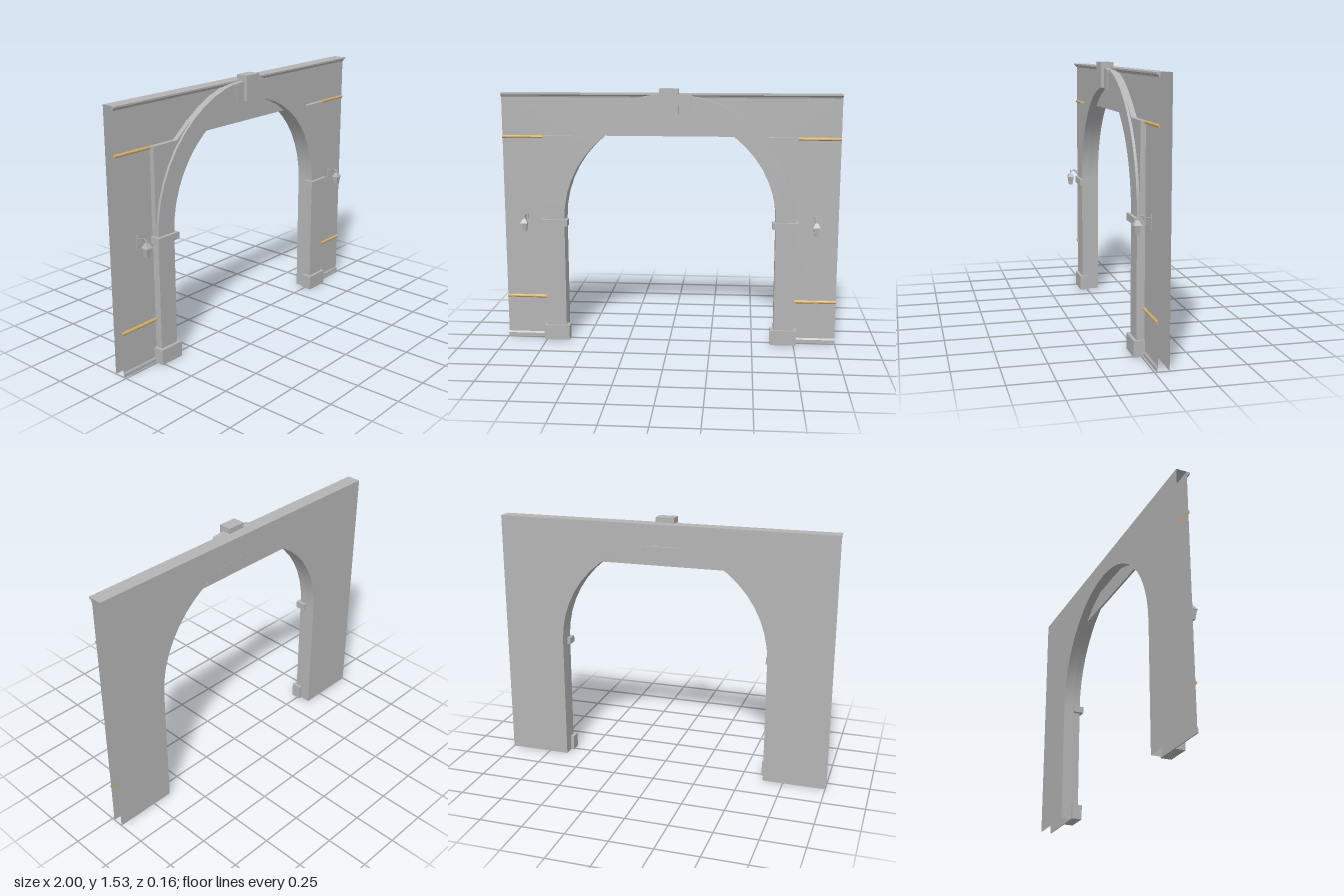
import * as THREE from 'three';
import { toCreasedNormals } from 'three/addons/utils/BufferGeometryUtils.js';

const BACK = -0.08, FRONT = -0.017;   // planes of the hollow wall
const SPRING = 0.75, R_IN = 0.63, R_OUT = 0.75, BAND = 1.25, TOP = 1.5;

export function createModel() {
  const stone = new THREE.MeshStandardMaterial({ color: 0xb4b4b4, side: THREE.DoubleSide });
  stone.name = 'stone grey';
  const gold = new THREE.MeshStandardMaterial({ color: 0xd2ae66 });
  gold.name = 'gold trim';

  const model = new THREE.Group();
  model.name = 'archwayWall';
  const add = (name, geometry, material = stone, parent = model) => {
    const mesh = new THREE.Mesh(geometry, material);
    mesh.name = name;
    parent.add(mesh);
    return mesh;
  };
  // box from its minimum and maximum corners
  const box = (x0, x1, y0, y1, z0, z1) =>
    new THREE.BoxGeometry(x1 - x0, y1 - y0, z1 - z0)
      .translate((x0 + x1) / 2, (y0 + y1) / 2, (z0 + z1) / 2);
  const polygon = (pts) => new THREE.Shape(pts.map(([x, y]) => new THREE.Vector2(x, y)));
  const slab = (shape, z0, z1) => toCreasedNormals(
    new THREE.ExtrudeGeometry(shape, { depth: z1 - z0, bevelEnabled: false, curveSegments: 12 })
      .translate(0, 0, z0), 0.5);
  // a (z, y) profile run along x
  const moulding = (pts, x0, x1) =>
    new THREE.ExtrudeGeometry(polygon(pts), { depth: x1 - x0, bevelEnabled: false })
      .rotateY(-Math.PI / 2).translate(x1, 0, 0);

  // wall face with an opening; stop is the angle where the arch is cut flat
  const wallShape = (stop) => {
    const s = new THREE.Shape();
    s.moveTo(-1, 0);
    s.lineTo(-R_IN, 0);
    s.lineTo(-R_IN, SPRING);
    s.absarc(0, SPRING, R_IN, Math.PI, Math.PI - stop, true);
    if (stop < Math.PI / 2) s.lineTo(R_IN * Math.cos(stop), BAND);
    s.absarc(0, SPRING, R_IN, stop, 0, true);
    s.lineTo(R_IN, 0);
    s.lineTo(1, 0);
    s.lineTo(1, TOP);
    s.lineTo(-1, TOP);
    return s;
  };
  const cut = Math.asin((BAND - SPRING) / R_IN);
  add('wallFront', new THREE.ShapeGeometry(wallShape(cut), 12).translate(0, 0, FRONT));
  add('wallBack', new THREE.ShapeGeometry(wallShape(Math.PI / 2), 12)
    .rotateY(Math.PI).translate(0, 0, BACK));
  add('wallTop', new THREE.PlaneGeometry(2, FRONT - BACK).rotateX(-Math.PI / 2)
    .translate(0, TOP, (FRONT + BACK) / 2));
  add('lintelPanel', box(-0.55, 0.55, BAND, 1.36, FRONT - 0.012, FRONT - 0.001));

  // inner lining of the opening
  const path = [[-R_IN, 0]];
  for (let i = 0; i <= 24; i++) {
    const a = Math.PI * (1 - i / 24);
    path.push([R_IN * Math.cos(a), SPRING + R_IN * Math.sin(a)]);
  }
  path.push([R_IN, 0]);
  const lining = new THREE.PlaneGeometry(1, 1, path.length - 1, 1);
  const pos = lining.attributes.position;
  for (let i = 0; i < pos.count; i++) {
    const [x, y] = path[i % path.length];
    pos.setXYZ(i, x, y, i < path.length ? BACK : FRONT);
  }
  lining.computeVertexNormals();
  add('openingLining', lining);

  // raised arch ring with its two piers
  const ring = new THREE.Shape();
  ring.moveTo(-R_OUT, 0);
  ring.lineTo(-R_IN, 0);
  ring.lineTo(-R_IN, SPRING);
  ring.absarc(0, SPRING, R_IN, Math.PI, 0, true);
  ring.lineTo(R_IN, 0);
  ring.lineTo(R_OUT, 0);
  ring.lineTo(R_OUT, SPRING);
  ring.absarc(0, SPRING, R_OUT, 0, Math.PI, false);
  add('archAndPiers', slab(ring, FRONT, 0.027));

  // keystone and cornice
  add('keystone', box(-0.055, 0.055, 1.385, 1.53, FRONT, 0.057));
  add('cornice', moulding([[FRONT, 1.475], [-0.012, 1.475], [-0.009, 1.483], [-0.003, 1.489],
    [0.004, 1.491], [0.004, TOP], [FRONT, TOP]], -1, 1));

  // half-round trim profile
  const halfRound = (y, r) => Array.from({ length: 7 }, (_, i) => {
    const a = -Math.PI / 2 + Math.PI * i / 6;
    return [FRONT + r * Math.cos(a), y + r * Math.sin(a)];
  });

  for (const s of [1, -1]) {
    const side = s > 0 ? 'left' : 'right';
    const span = (a, b) => (s > 0 ? [a, b] : [-b, -a]);
    const flip = (pts) => pts.map(([x, y]) => [s * x, y]);

    add(side + 'PierBase', box(...span(0.61, 0.765), 0, 0.09, FRONT, 0.045));
    add(side + 'Impost', box(...span(0.61, 0.765), 0.71, 0.75, FRONT, 0.045));
    add(side + 'Voussoir', slab(polygon(flip([[0.055, 1.378], [0.11, 1.37], [0.13, 1.488],
      [0.055, 1.497]])), FRONT, 0.037));
    add(side + 'Spandrel', slab(polygon(flip([[0.752, 0.75], [0.752, BAND], [0.578, BAND],
      [0.47, 1.337], [0.45, 1.27], [0.6, 1.09], [0.68, 0.9], [0.7, 0.75]])), FRONT, 0.012));
    add(side + 'LowerTrim', moulding(halfRound(0.258, 0.01), ...span(0.75, 1)), gold);
    add(side + 'UpperTrim', moulding(halfRound(1.241, 0.009), ...span(0.75, 1)), gold);
    add(side + 'Skirting', moulding([[FRONT, 0], [-0.011, 0], [-0.011, 0.02], [FRONT, 0.03]],
      ...span(0.75, 1)));

    // wall lantern on a curved bracket
    const lamp = new THREE.Group();
    lamp.name = side + 'Lantern';
    lamp.position.x = s * 0.865;
    model.add(lamp);
    const frustum = (top, bottom, y0, y1) =>
      new THREE.CylinderGeometry(top * Math.SQRT2, bottom * Math.SQRT2, y1 - y0, 4)
        .toNonIndexed().rotateY(Math.PI / 4).translate(0, (y0 + y1) / 2, 0.058);
    const flat = (g) => { g.computeVertexNormals(); return g; };
    add('lanternBody', flat(frustum(0.018, 0.011, 0.68, 0.733)), stone, lamp);
    add('lanternRoof', flat(frustum(0.008, 0.022, 0.733, 0.758)), stone, lamp);
    add('lanternFinial', flat(frustum(0.001, 0.004, 0.758, 0.785)), stone, lamp);
    add('lanternPlate', box(-0.006, 0.006, 0.7, 0.785, FRONT, FRONT + 0.004), stone, lamp);
    const tube = (pts) => new THREE.TubeGeometry(new THREE.CatmullRomCurve3(
      pts.map(([z, y]) => new THREE.Vector3(0, y, z))), 12, 0.003, 5);
    add('lanternArm', tube([[FRONT, 0.77], [0.01, 0.768], [0.035, 0.78], [0.058, 0.765]]), stone, lamp);
    add('lanternBrace', tube([[FRONT, 0.712], [-0.002, 0.73], [0.015, 0.755], [0.035, 0.778]]), stone, lamp);
  }
  return model;
}
